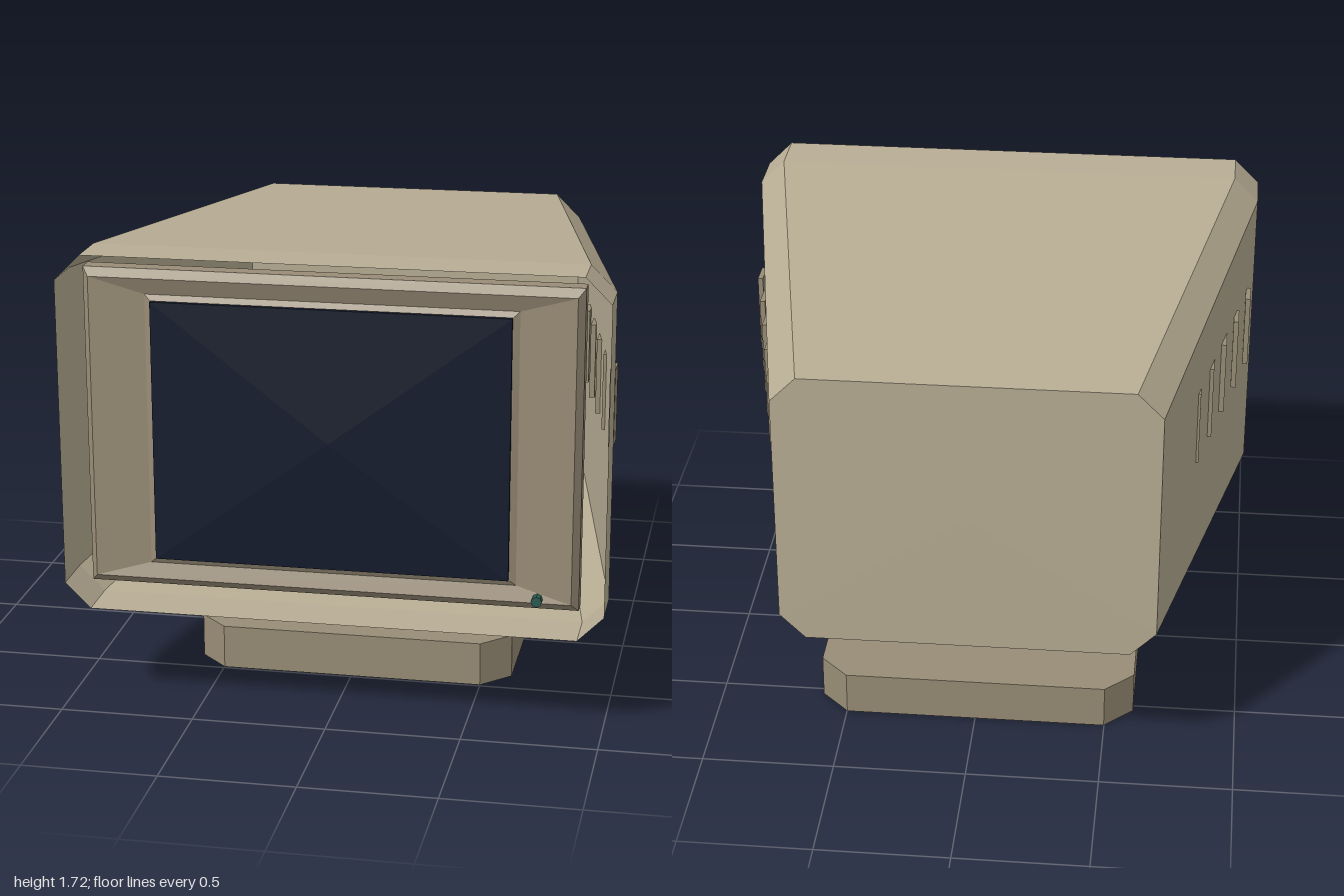
import * as THREE from 'three';

const mat = (color, side = THREE.FrontSide) =>
  new THREE.MeshStandardMaterial({ color, flatShading: true, side });

// Rectangle with cut corners (counter-clockwise) at depth z
function section(z, hx, y0, y1, c = 0) {
  const p = c
    ? [[hx, y0 + c], [hx, y1 - c], [hx - c, y1], [c - hx, y1],
       [-hx, y1 - c], [-hx, y0 + c], [c - hx, y0], [hx - c, y0]]
    : [[hx, y0], [hx, y1], [-hx, y1], [-hx, y0]];
  return p.map(([x, y]) => new THREE.Vector3(x, y, z));
}

// Flat-faced loft through sections from back to front, with optional caps;
// bulge pushes the centre of the front cap outwards
function loft(rings, { front = true, back = true, bulge = 0 } = {}) {
  const pts = [];
  const n = rings[0].length;
  const centre = (r) => r.reduce((s, p) => s.add(p), new THREE.Vector3()).divideScalar(n);
  const first = rings[0], last = rings[rings.length - 1];
  const c0 = centre(first), c1 = centre(last);
  c1.z += bulge;
  for (let i = 0; i < n; i++) {
    const j = (i + 1) % n;
    for (let k = 0; k < rings.length - 1; k++) {
      const a = rings[k], b = rings[k + 1];
      pts.push(a[i], a[j], b[j], a[i], b[j], b[i]);
    }
    if (back) pts.push(c0, first[j], first[i]);
    if (front) pts.push(c1, last[i], last[j]);
  }
  const g = new THREE.BufferGeometry().setFromPoints(pts);
  g.computeVertexNormals();
  return g;
}

export function createModel() {
  const model = new THREE.Group();
  const add = (name, geometry, material, parent = model) => {
    const m = new THREE.Mesh(geometry, material);
    m.name = name;
    parent.add(m);
    return m;
  };
  const shellMat = mat(0xb8ad94, THREE.DoubleSide);
  const trimMat = mat(0x9a8d77);
  const baseMat = mat(0x988d76);

  // Tapered housing, open at the front
  add('housing', loft([
    section(-0.92, 0.695, 0.525, 1.61, 0.095),
    section(0.71, 1, 0.372, 1.718, 0.095),
    section(0.9, 1, 0.372, 1.718, 0.095),
  ], { front: false }), shellMat);

  // Bevelled frame sloping in towards the screen
  add('bezel', loft([
    section(0.79, 0.905, 0.472, 1.668),
    section(0.855, 0.905, 0.472, 1.668),
    section(0.885, 0.88, 0.502, 1.638),
    section(0.865, 0.677, 0.558, 1.577),
    section(0.875, 0.655, 0.578, 1.557),
  ]), trimMat);

  // Bulged glass
  add('screen', loft([
    section(0.85, 0.652, 0.582, 1.555),
    section(0.892, 0.652, 0.582, 1.555),
  ], { bulge: 0.028 }), mat(0x141c2c));

  // Power light
  const led = add('powerLight', new THREE.CylinderGeometry(0.02, 0.02, 0.04, 8), mat(0x2a5a50));
  led.rotation.x = Math.PI / 2;
  led.position.set(0.757, 0.515, 0.89);

  // Side vents stepping inwards along the taper
  const vents = new THREE.Group();
  vents.name = 'sideVents';
  model.add(vents);
  for (const side of [1, -1]) {
    for (let i = 0; i < 5; i++) {
      const v = add('vent', new THREE.BoxGeometry(0.02, 0.29, 0.1), baseMat, vents);
      v.position.set(side * (0.98 - 0.0437 * i), 1.155, 0.533 - 0.203 * i);
    }
  }

  // Swivel neck and foot are lofted along z, then stood upright
  const neck = add('neck', loft([
    section(0.165, 0.21, -0.155, 0.26, 0.035),
    section(0.207, 0.26, -0.207, 0.31, 0.05),
    section(0.388, 0.26, -0.207, 0.31, 0.05),
    section(0.438, 0.21, -0.155, 0.26, 0.035),
  ]), mat(0xb8ad94));
  const base = add('base', loft([
    section(0, 0.607, -0.49, 0.64, 0.108),
    section(0.168, 0.607, -0.49, 0.64, 0.108),
  ]), baseMat);
  for (const m of [neck, base]) m.rotation.x = -Math.PI / 2;

  return model;
}
